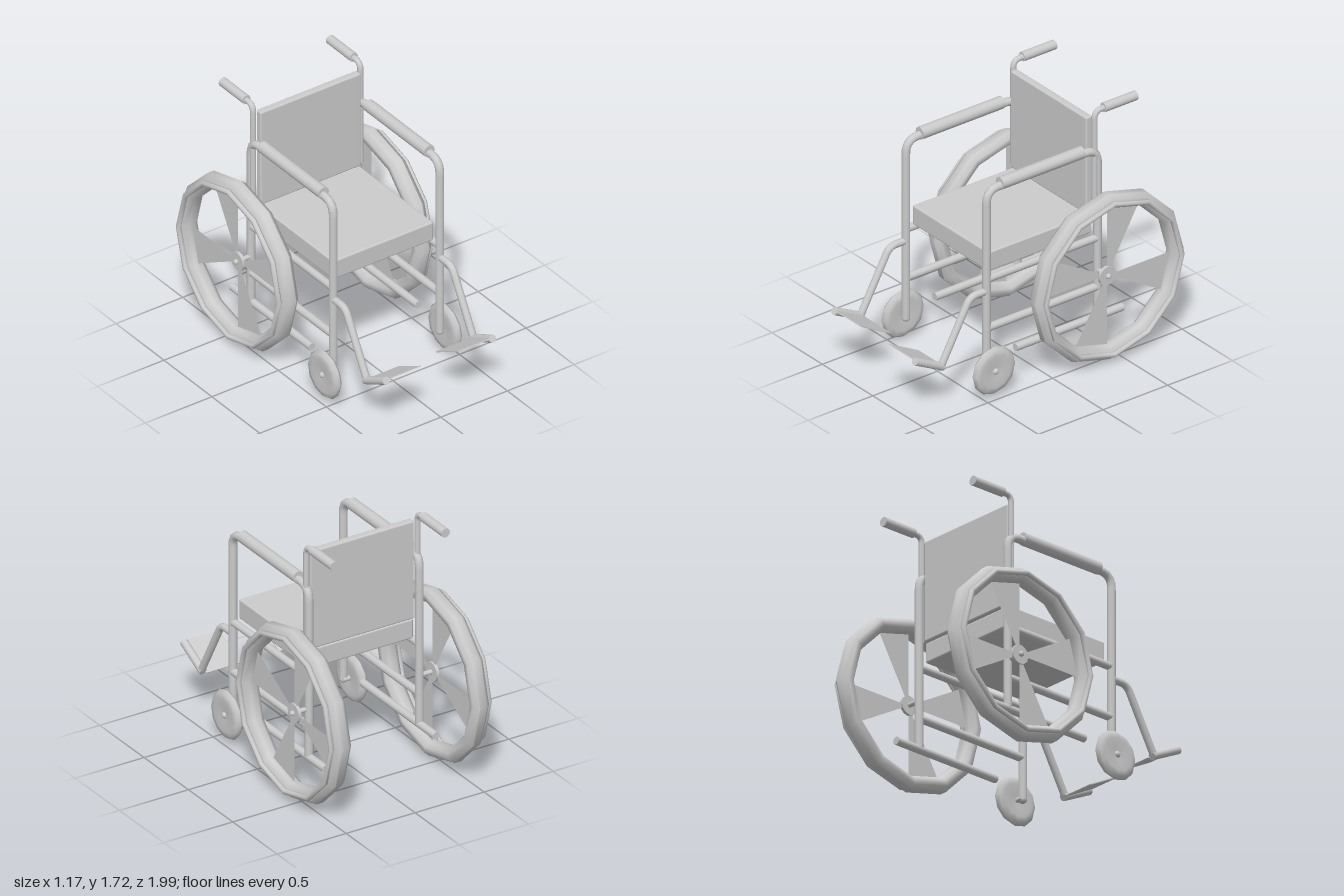
import * as THREE from 'three';
import { mergeGeometries } from 'three/addons/utils/BufferGeometryUtils.js';
import { RoundedBoxGeometry } from 'three/addons/geometries/RoundedBoxGeometry.js';

const grey = new THREE.MeshStandardMaterial({ color: 0xcccccc });
const thin = new THREE.MeshStandardMaterial({ color: 0xcccccc, side: THREE.DoubleSide });

function add(parent, name, geometry, x = 0, y = 0, z = 0, material = grey) {
  const mesh = new THREE.Mesh(geometry, material);
  mesh.name = name;
  mesh.position.set(x, y, z);
  parent.add(mesh);
  return mesh;
}

// Flat disc closing a pipe end, facing along dir
function cap(point, dir, r) {
  const q = new THREE.Quaternion().setFromUnitVectors(new THREE.Vector3(0, 0, 1), dir);
  return new THREE.CircleGeometry(r, 12).applyQuaternion(q).translate(point.x, point.y, point.z);
}

// Capped pipe through [y, z] points in a side plane, with rounded corners
function pipe(points, r, bend = 0.06) {
  const p = points.map(([y, z]) => new THREE.Vector3(0, y, z));
  const path = new THREE.CurvePath();
  let start = p[0];
  for (let i = 1; i < p.length - 1; i++) {
    const a = p[i].clone().add(p[i - 1].clone().sub(p[i]).setLength(bend));
    const b = p[i].clone().add(p[i + 1].clone().sub(p[i]).setLength(bend));
    path.add(new THREE.LineCurve3(start, a));
    path.add(new THREE.QuadraticBezierCurve3(a, p[i], b));
    start = b;
  }
  const end = p[p.length - 1];
  path.add(new THREE.LineCurve3(start, end));
  const tube = new THREE.TubeGeometry(path, p.length > 2 ? 90 : 1, r, 12);
  return mergeGeometries([
    tube,
    cap(p[0], path.getTangentAt(0).negate(), r),
    cap(end, path.getTangentAt(1), r),
  ]);
}

// Twelve-sided ring around the x axis with an eight-sided section
function ring(radius, halfHeight, halfWidth) {
  const section = [];
  for (let i = 0; i <= 8; i++) {
    const a = ((i + 0.5) / 8) * Math.PI * 2;
    const k = 1 / Math.cos(Math.PI / 8);
    section.push(new THREE.Vector2(radius + Math.cos(a) * halfHeight * k, Math.sin(a) * halfWidth * k));
  }
  return new THREE.LatheGeometry(section, 12).rotateZ(-Math.PI / 2);
}

const rod = (r, length, sides = 12) =>
  new THREE.CylinderGeometry(r, r, length, sides).rotateZ(Math.PI / 2);

// Four flat blades, each filling a 30 degree sector
function blades(r) {
  const pos = [];
  for (let i = 0; i < 4; i++) {
    const a = (i * Math.PI) / 2;
    const b = a - Math.PI / 6;
    pos.push(0, 0, 0, 0, r * Math.sin(b), -r * Math.cos(b), 0, r * Math.sin(a), -r * Math.cos(a));
  }
  const g = new THREE.BufferGeometry();
  g.setAttribute('position', new THREE.Float32BufferAttribute(pos, 3));
  g.computeVertexNormals();
  return g;
}

function rearWheel(s) {
  const wheel = new THREE.Group();
  wheel.name = 'rearWheel';
  wheel.position.set(s * 0.5, 0.58, -0.42);
  add(wheel, 'tyre', ring(0.527, 0.048, 0.057));
  add(wheel, 'handRim', ring(0.524, 0.016, 0.016), s * 0.071);
  add(wheel, 'spokeBlades', blades(0.5), 0, 0, 0, thin);
  add(wheel, 'hub', rod(0.064, 0.02));
  add(wheel, 'axle', rod(0.016, 0.13), s * -0.045);
  add(wheel, 'hubCap', new THREE.SphereGeometry(0.018, 12, 8), s * 0.016);
  return wheel;
}

function caster(s) {
  const wheel = new THREE.Group();
  wheel.name = 'caster';
  wheel.position.set(s * 0.452, 0.183, 0.417);
  // Bulging rim with slightly sunken faces
  const profile = [[0, -0.018], [0.05, -0.021], [0.11, -0.028], [0.145, -0.022], [0.163, 0],
    [0.145, 0.022], [0.11, 0.028], [0.05, 0.021], [0, 0.018]].map(([r, x]) => new THREE.Vector2(r, x));
  add(wheel, 'casterTyre', new THREE.LatheGeometry(profile, 12).rotateZ(-Math.PI / 2));
  add(wheel, 'casterAxle', rod(0.016, 0.06), s * -0.035);
  add(wheel, 'casterCap', new THREE.SphereGeometry(0.022, 12, 8), s * 0.014);
  return wheel;
}

function sideAssembly(s) {
  const side = new THREE.Group();
  side.name = s > 0 ? 'leftSide' : 'rightSide';
  const x = s * 0.4;

  // Frame loop: front post, arm rail and rear post
  add(side, 'sideFrame', pipe([[0.18, 0.433], [1.42, 0.433], [1.42, -0.425], [0.25, -0.425]], 0.027, 0.09), x);
  add(side, 'frontPostEnd', new THREE.SphereGeometry(0.027, 12, 8), x, 0.183, 0.433);
  add(side, 'seatRail', pipe([[0.8, 0.433], [0.8, -0.425]], 0.025), x);
  add(side, 'middleRail', pipe([[0.46, 0.433], [0.46, -0.425]], 0.026), x);
  add(side, 'bottomRail', pipe([[0.25, 0.21], [0.25, -0.615]], 0.026), x);
  add(side, 'armPad', pipe([[1.433, 0.328], [1.433, -0.305]], 0.041), s * 0.397);

  // Push handle
  add(side, 'handlePost', pipe([[0.97, -0.4], [1.69, -0.4], [1.69, -0.5]], 0.019, 0.05), s * 0.403);
  add(side, 'handleGrip', pipe([[1.692, -0.468], [1.692, -0.717]], 0.031), s * 0.403);

  // Footrest
  add(side, 'legTube', pipe([[0.72, 0.433], [0.72, 0.56], [0.325, 0.778]], 0.024, 0.05), x);
  add(side, 'footBar', pipe([[0.306, 0.768], [0.416, 0.985]], 0.026), x);
  const plate = add(side, 'footPlate', new THREE.BoxGeometry(0.245, 0.006, 0.262), s * 0.262, 0.36, 0.87);
  plate.rotation.x = -Math.atan2(0.125, 0.23);

  side.add(rearWheel(s), caster(s));
  return side;
}

export function createModel() {
  const model = new THREE.Group();
  model.name = 'wheelchair';
  add(model, 'seat', new RoundedBoxGeometry(0.755, 0.135, 0.795, 2, 0.012), 0, 0.898, 0.003);
  add(model, 'backrest', new RoundedBoxGeometry(0.755, 0.675, 0.05, 2, 0.012), 0, 1.308, -0.38);
  model.add(sideAssembly(1), sideAssembly(-1));
  return model;
}
